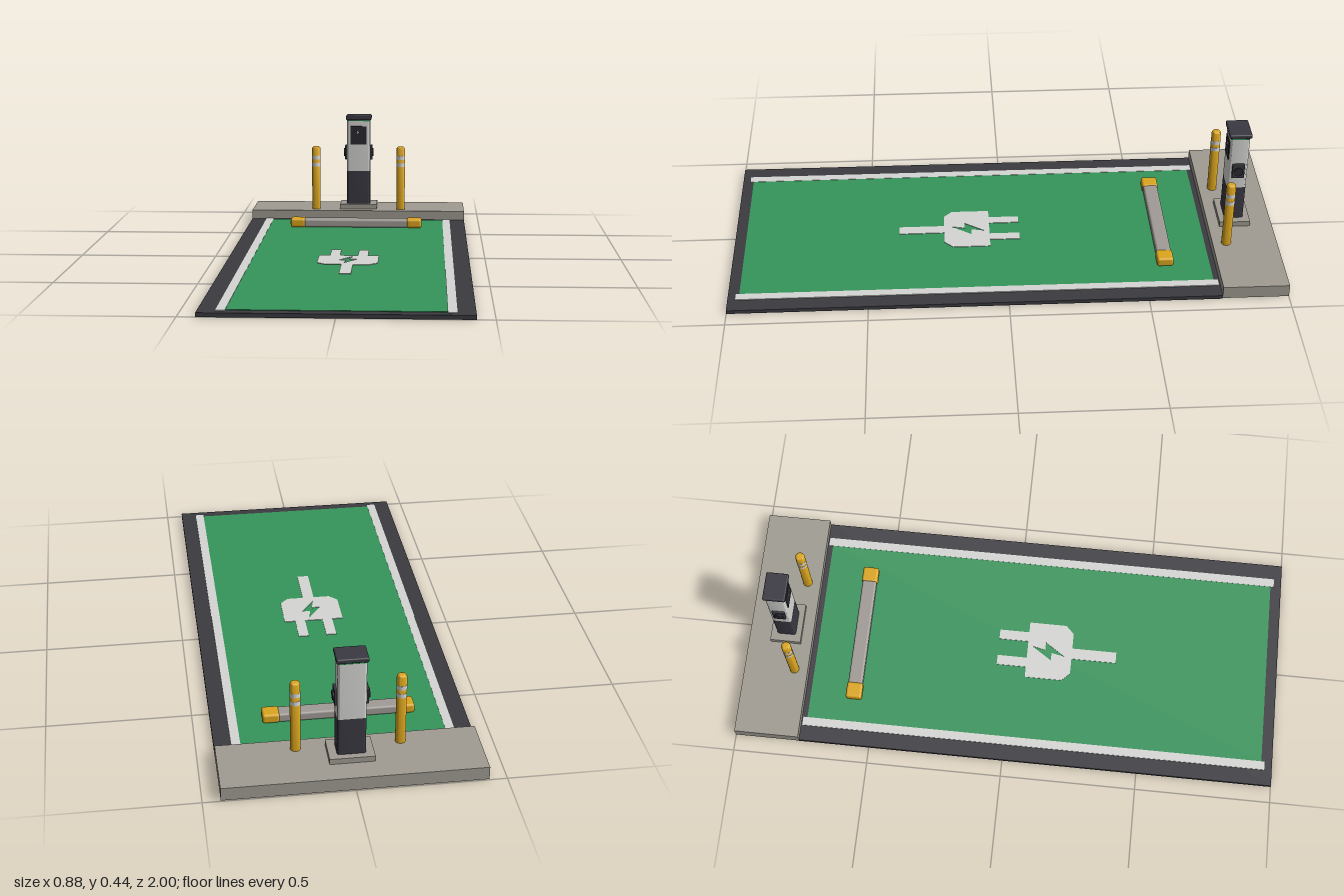
import * as THREE from 'three';
import { toCreasedNormals } from 'three/addons/utils/BufferGeometryUtils.js';
import { RoundedBoxGeometry } from 'three/addons/geometries/RoundedBoxGeometry.js';

const material = (name, color) => {
  const m = new THREE.MeshStandardMaterial({ color });
  m.name = name;
  return m;
};

export function createModel() {
  const asphalt = material('asphalt', 0x3b3a40);
  const concrete = material('concrete', 0xa09c93);
  const stopGrey = material('stopGrey', 0xa09b96);
  const green = material('green', 0x35955b);
  const white = material('white', 0xd6d6d4);
  const yellow = material('yellow', 0xdca61e);
  const charcoal = material('charcoal', 0x3a3942);
  const black = material('black', 0x2b2a30);

  const model = new THREE.Group();
  model.name = 'chargingBay';

  const add = (parent, name, geometry, mat, x = 0, y = 0, z = 0) => {
    const mesh = new THREE.Mesh(geometry, mat);
    mesh.name = name;
    mesh.position.set(x, y, z);
    parent.add(mesh);
    return mesh;
  };
  // Box given by its limits on each axis
  const box = (parent, name, mat, [x0, x1], [y0, y1], [z0, z1], radius = 0) => {
    const size = [x1 - x0, y1 - y0, z1 - z0];
    const geometry = radius ? new RoundedBoxGeometry(...size, 3, radius) : new THREE.BoxGeometry(...size);
    return add(parent, name, geometry, mat, (x0 + x1) / 2, (y0 + y1) / 2, (z0 + z1) / 2);
  };
  const group = (name, x = 0, y = 0, z = 0) => {
    const g = new THREE.Group();
    g.name = name;
    g.position.set(x, y, z);
    model.add(g);
    return g;
  };
  const points = (list) => list.map(([x, y]) => new THREE.Vector2(x, y));

  // Parking surface and painted markings
  box(model, 'asphaltPad', asphalt, [-0.44, 0.44], [0, 0.014], [-0.762, 1]);
  box(model, 'greenBay', green, [-0.352, 0.352], [0.013, 0.016], [-0.742, 0.96]);
  for (const s of [-1, 1]) {
    const x = s * 0.366;
    box(model, s > 0 ? 'leftLine' : 'rightLine', white, [x - 0.016, x + 0.016], [0.013, 0.017], [-0.757, 0.972]);
  }

  // Plug symbol with a bolt cut out, drawn as (x, z)
  const plug = new THREE.Shape(points([
    [-0.07, -0.058], [-0.033, -0.058], [-0.033, 0.053], [0.033, 0.053], [0.033, -0.058], [0.07, -0.058],
    [0.07, 0.053], [0.11, 0.053], [0.11, 0.192], [0.08, 0.222], [0.021, 0.222], [0.021, 0.39],
    [-0.021, 0.39], [-0.021, 0.222], [-0.08, 0.222], [-0.11, 0.192], [-0.11, 0.053], [-0.07, 0.053],
  ]));
  const bolt = [[0.015, 0.07], [-0.035, 0.145], [-0.005, 0.145], [-0.015, 0.195], [0.035, 0.12], [0.005, 0.12]];
  plug.holes.push(new THREE.Path(points(bolt)));
  const plugGeometry = new THREE.ExtrudeGeometry(plug, { depth: 0.003, bevelEnabled: false });
  plugGeometry.rotateX(Math.PI / 2);
  add(model, 'plugSymbol', plugGeometry, white, 0, 0.018, 0);

  // Raised kerb
  box(model, 'kerb', concrete, [-0.44, 0.44], [0.003, 0.05], [-1, -0.762]);

  // Wheel stop
  const stop = group('wheelStop', 0, 0, -0.578);
  box(stop, 'stopBar', stopGrey, [-0.21, 0.21], [0.015, 0.048], [-0.027, 0.027], 0.008);
  for (const s of [-1, 1]) {
    const x = s * 0.234;
    box(stop, 'stopEnd', yellow, [x - 0.03, x + 0.03], [0.015, 0.05], [-0.03, 0.03], 0.009);
  }

  // Bollards with two reflective bands each
  const bollardProfile = points([
    [0, 0.048], [0.0175, 0.048], [0.0175, 0.301], [0.0165, 0.307], [0.0135, 0.311], [0.008, 0.3135], [0, 0.314],
  ]);
  for (const s of [-1, 1]) {
    const bollard = group(s > 0 ? 'leftBollard' : 'rightBollard', s * 0.176, 0, -0.812);
    add(bollard, 'post', toCreasedNormals(new THREE.LatheGeometry(bollardProfile, 24), 0.7), yellow);
    for (const y of [0.237, 0.267]) {
      add(bollard, 'band', new THREE.CylinderGeometry(0.0181, 0.0181, 0.0155, 24), white, 0, y, 0);
    }
  }

  // Charger cabinet: upright blocks with rounded corners
  const charger = group('charger', 0, 0, -0.859);
  const upright = (name, mat, halfX, halfZ, r, y0, y1) => {
    const shape = new THREE.Shape();
    shape.moveTo(halfX, -halfZ + r);
    shape.absarc(halfX - r, halfZ - r, r, 0, Math.PI / 2);
    shape.absarc(-halfX + r, halfZ - r, r, Math.PI / 2, Math.PI);
    shape.absarc(-halfX + r, -halfZ + r, r, Math.PI, Math.PI * 1.5);
    shape.absarc(halfX - r, -halfZ + r, r, Math.PI * 1.5, Math.PI * 2);
    const g = new THREE.ExtrudeGeometry(shape, { depth: y1 - y0, bevelEnabled: false, curveSegments: 4 });
    g.rotateX(-Math.PI / 2);
    add(charger, name, toCreasedNormals(g, 0.7), mat, 0, y0, 0);
  };
  box(charger, 'plinth', concrete, [-0.076, 0.076], [0.049, 0.07], [-0.058, 0.056]);
  upright('lowerCabinet', charcoal, 0.048, 0.035, 0.008, 0.07, 0.207);
  upright('upperCabinet', white, 0.048, 0.035, 0.008, 0.207, 0.417);
  upright('lightStrip', green, 0.0485, 0.0355, 0.008, 0.417, 0.423);
  box(charger, 'cap', charcoal, [-0.053, 0.053], [0.422, 0.439], [-0.041, 0.041], 0.005);

  // Screen with a tiny bolt
  box(charger, 'screen', black, [-0.033, 0.033], [0.32, 0.396], [0.03, 0.038]);
  const icon = new THREE.Shape(points(bolt.map(([x, z]) => [x * 0.14, (0.132 - z) * 0.14])));
  const iconGeometry = new THREE.ExtrudeGeometry(icon, { depth: 0.001, bevelEnabled: false });
  add(charger, 'screenBolt', iconGeometry, white, -0.003, 0.371, 0.0375);

  // Side sockets
  for (const s of [-1, 1]) {
    const x = s * 0.051;
    box(charger, 'socketPlate', charcoal, [x - 0.006, x + 0.006], [0.254, 0.313], [-0.023, 0.023], 0.003);
    const socket = add(charger, 'socket', new THREE.CylinderGeometry(0.017, 0.017, 0.01, 20), black, s * 0.0565, 0.283, 0);
    socket.rotation.z = Math.PI / 2;
  }
  return model;
}
